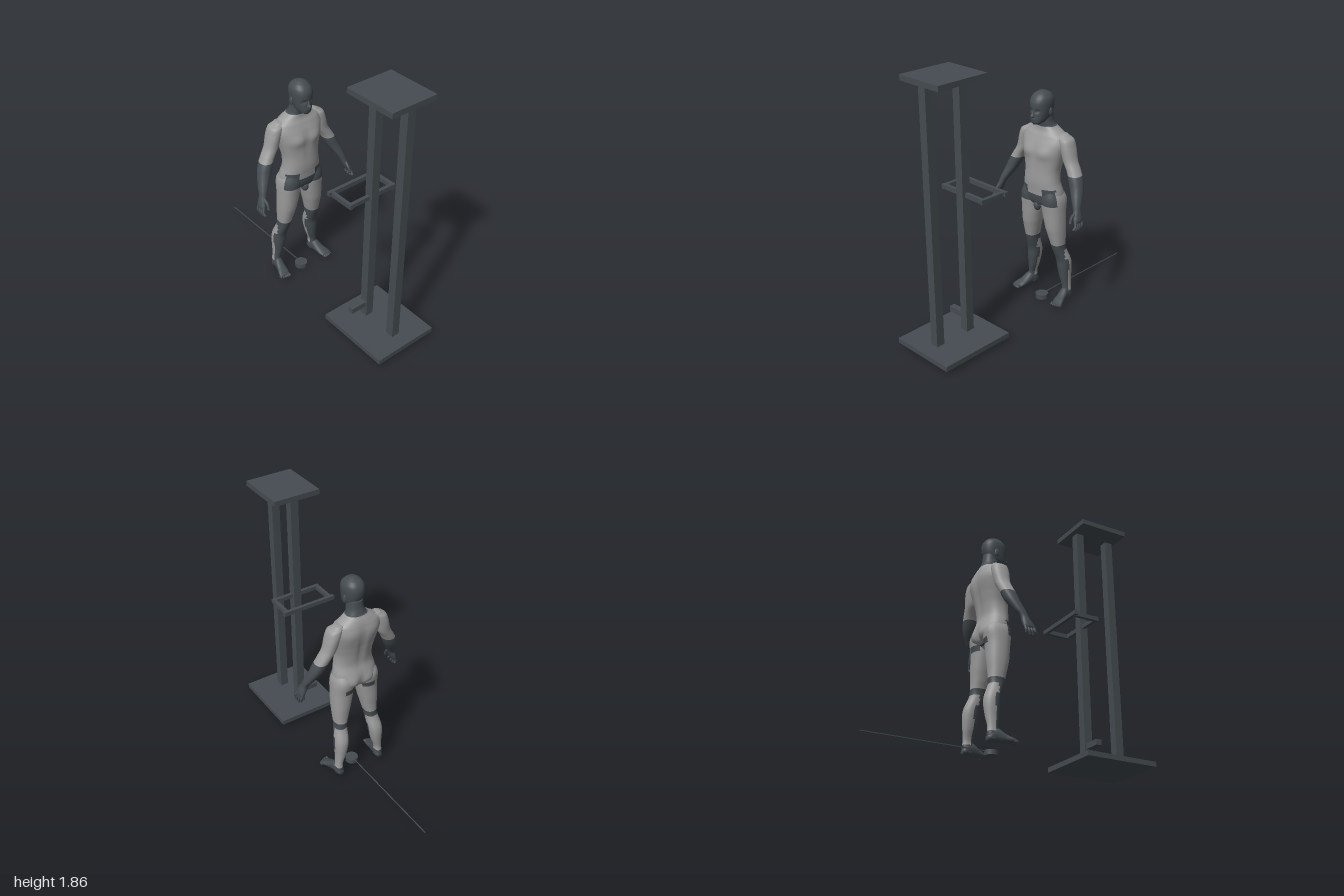
import * as THREE from 'three';

const skin = new THREE.MeshStandardMaterial({ color: 0x9a9a9a });
skin.name = 'light grey';
const dark = new THREE.MeshStandardMaterial({ color: 0x454c51 });
dark.name = 'slate';

// Smooth closed loft. Rings: [y, centreX, halfWidth, zFront, zBack].
// isDark(x, y, z) picks the colour of each quad, bulge(x, y, z) returns a z offset.
function loft(rings, { segs = 32, steps = 5, side = 1, isDark = () => false, bulge = () => 0 } = {}) {
  const r = [...rings].sort((a, b) => a[0] - b[0]);
  const rows = [];
  for (let i = 0; i < r.length - 1; i++) {
    const [p0, p1, p2, p3] = [r[Math.max(i - 1, 0)], r[i], r[i + 1], r[Math.min(i + 2, r.length - 1)]];
    for (let s = 0; s < steps; s++) {
      const t = s / steps;
      rows.push(p1.map((v, k) => k === 0 ? v + (p2[0] - v) * t
        : 0.5 * (2 * v + (p2[k] - p0[k]) * t + (2 * p0[k] - 5 * v + 4 * p2[k] - p3[k]) * t * t
          + (3 * v - p0[k] - 3 * p2[k] + p3[k]) * t * t * t)));
    }
  }
  rows.push(r[r.length - 1]);
  const cap = q => [q[0], q[1], 0, (q[3] + q[4]) / 2, (q[3] + q[4]) / 2];
  rows.unshift(cap(rows[0]));
  rows.push(cap(rows[rows.length - 1]));

  const pos = [];
  for (const [y, cx, w, zf, zb] of rows) {
    for (let j = 0; j < segs; j++) {
      const a = j / segs * Math.PI * 2, c = Math.cos(a), n = Math.sin(a);
      const x = side * cx + w * Math.sign(c) * Math.abs(c) ** 0.88;
      const z = (zf + zb) / 2 + (zf - zb) / 2 * Math.sign(n) * Math.abs(n) ** 0.88;
      pos.push(x, y, z + (w > 0 ? bulge(x, y, z) : 0));
    }
  }
  const faces = [[], []];
  for (let i = 0; i < rows.length - 1; i++) {
    for (let j = 0; j < segs; j++) {
      const k = (j + 1) % segs;
      const a = i * segs + j, b = i * segs + k, c = a + segs, d = b + segs;
      const mid = [0, 1, 2].map(m => (pos[a * 3 + m] + pos[d * 3 + m]) / 2);
      faces[isDark(...mid) ? 1 : 0].push(a, c, b, b, c, d);
    }
  }
  const g = new THREE.BufferGeometry();
  g.setAttribute('position', new THREE.Float32BufferAttribute(pos, 3));
  g.setIndex([...faces[0], ...faces[1]]);
  g.addGroup(0, faces[0].length, 0);
  g.addGroup(faces[0].length, faces[1].length, 1);
  g.computeVertexNormals();
  return g;
}

function add(parent, name, geometry, material, x = 0, y = 0, z = 0) {
  const m = new THREE.Mesh(geometry, material);
  m.name = name;
  m.position.set(x, y, z);
  parent.add(m);
  return m;
}

// Box given by its min and max on each axis
function block(parent, name, x0, x1, y0, y1, z0, z1) {
  return add(parent, name, new THREE.BoxGeometry(x1 - x0, y1 - y0, z1 - z0), dark,
    (x0 + x1) / 2, (y0 + y1) / 2, (z0 + z1) / 2);
}

function ellipsoid(parent, name, x, y, z, rx, ry, rz) {
  return add(parent, name, new THREE.SphereGeometry(1, 16, 12).scale(rx, ry, rz), dark, x, y, z);
}

// Finger through a few points
function finger(parent, name, pts, radius) {
  const v = pts.map(p => new THREE.Vector3(...p));
  add(parent, name, new THREE.TubeGeometry(new THREE.CatmullRomCurve3(v), 8, radius, 8), dark);
  const tip = v[v.length - 1];
  ellipsoid(parent, name + 'Tip', tip.x, tip.y, tip.z, radius, radius, radius);
}

const bump = (x, y, cx, cy, rx, ry) => Math.exp(-(((x - cx) / rx) ** 2) - ((y - cy) / ry) ** 2);

// Dark areas around the hips
const hips = (x, y, z) => {
  const ax = Math.abs(x);
  return (z > -0.1 && y > 0.77 && y < (ax > 0.07 ? 0.9 : 0.85))
    || (z < -0.19 && y > 0.725 && y < 0.755 && ax < 0.12);
};

function buildStand() {
  const stand = new THREE.Group();
  stand.name = 'stand';
  block(stand, 'base', -0.24, 0.24, 0.03, 0.065, 0.45, 1);
  block(stand, 'topPlate', -0.173, 0.173, 1.82, 1.857, 0.535, 0.915);
  for (const z of [0.605, 0.865]) block(stand, 'post', -0.03, 0.03, 0.065, 1.82, z - 0.03, z + 0.03);
  block(stand, 'footPeg', -0.15, -0.03, 0.145, 0.185, 0.585, 0.625);
  block(stand, 'handleBar', -0.205, 0.205, 1.038, 1.068, 0.41, 0.435);
  block(stand, 'rearBar', -0.19, 0.19, 1.038, 1.068, 0.59, 0.615);
  for (const s of [-1, 1]) {
    block(stand, 'handleArm', s * 0.177 - 0.013, s * 0.177 + 0.013, 1.036, 1.066, 0.425, 0.618);
  }
  return stand;
}

function buildHead() {
  const head = new THREE.Group();
  head.name = 'head';
  const opts = { isDark: () => true };
  add(head, 'neck', loft([
    [1.29, 0, 0.1, -0.105, -0.23], [1.33, 0, 0.07, -0.098, -0.218],
    [1.37, 0, 0.056, -0.09, -0.203], [1.43, 0, 0.052, -0.09, -0.195],
  ], { isDark: (x, y) => y > 1.325 }), [skin, dark]);
  // Skull with eye sockets, brow and mouth
  add(head, 'skull', loft([
    [1.352, 0, 0.02, -0.04, -0.09], [1.365, 0, 0.04, -0.03, -0.13], [1.39, 0, 0.054, -0.029, -0.17],
    [1.42, 0, 0.062, -0.03, -0.19], [1.46, 0, 0.068, -0.029, -0.203], [1.5, 0, 0.071, -0.03, -0.206],
    [1.53, 0, 0.066, -0.042, -0.198], [1.555, 0, 0.049, -0.065, -0.178], [1.57, 0, 0.026, -0.092, -0.148],
    [1.576, 0, 0.006, -0.113, -0.125],
  ], {
    ...opts, segs: 40, bulge: (x, y, z) => z < -0.1 ? 0
      : 0.005 * bump(x, y, 0, 1.392, 0.025, 0.012) - 0.012 * bump(Math.abs(x), y, 0.028, 1.447, 0.016, 0.011)
  }), [skin, dark]);
  add(head, 'nose', loft([
    [1.405, 0, 0.012, -0.018, -0.05], [1.413, 0, 0.014, -0.008, -0.05],
    [1.43, 0, 0.009, -0.018, -0.05], [1.455, 0, 0.007, -0.028, -0.05],
  ], { ...opts, segs: 14 }), [skin, dark]);
  for (const s of [-1, 1]) ellipsoid(head, 'ear', s * 0.069, 1.435, -0.13, 0.008, 0.03, 0.017);
  return head;
}

function buildArm(s) {
  const arm = new THREE.Group();
  arm.name = s > 0 ? 'leftArm' : 'rightArm';
  add(arm, 'armAndPalm', loft([
    [1.29, 0.14, 0.03, -0.145, -0.205], [1.26, 0.172, 0.047, -0.115, -0.225], [1.2, 0.193, 0.046, -0.11, -0.23],
    [1.12, 0.214, 0.047, -0.115, -0.22], [1.05, 0.256, 0.045, -0.11, -0.21], [1.0, 0.28, 0.048, -0.1, -0.2],
    [0.95, 0.302, 0.044, -0.09, -0.183], [0.88, 0.333, 0.033, -0.068, -0.145], [0.83, 0.353, 0.024, -0.055, -0.113],
    [0.79, 0.367, 0.022, -0.04, -0.11], [0.76, 0.377, 0.018, -0.03, -0.107], [0.745, 0.38, 0.012, -0.035, -0.1],
  ], { segs: 24, side: s, isDark: (x, y) => y < 1.035 }), [skin, dark]);
  for (let i = 0; i < 4; i++) {
    const z = -0.04 - i * 0.019, out = 0.025 - i * 0.006;
    finger(arm, 'finger', [
      [s * 0.377, 0.765, z], [s * 0.391, 0.728, z + out * 0.5], [s * 0.387, 0.7 + Math.abs(i - 1.5) * 0.008, z + out],
    ], 0.009);
  }
  finger(arm, 'thumb', [[s * 0.36, 0.815, -0.06], [s * 0.357, 0.785, -0.025], [s * 0.36, 0.753, -0.012]], 0.01);
  return arm;
}

function buildLeg(s) {
  const leg = new THREE.Group();
  leg.name = s > 0 ? 'leftLeg' : 'rightLeg';
  // Thigh, knee band and calf with a dark shin
  add(leg, 'legShape', loft([
    [0.9, 0.085, 0.055, -0.065, -0.195], [0.82, 0.092, 0.078, -0.046, -0.235], [0.72, 0.098, 0.077, -0.056, -0.223],
    [0.6, 0.11, 0.066, -0.07, -0.22], [0.52, 0.118, 0.055, -0.09, -0.215], [0.46, 0.124, 0.046, -0.105, -0.215],
    [0.42, 0.129, 0.046, -0.118, -0.22], [0.34, 0.14, 0.05, -0.145, -0.25], [0.28, 0.146, 0.047, -0.15, -0.257],
    [0.2, 0.154, 0.036, -0.16, -0.25], [0.13, 0.166, 0.026, -0.17, -0.242], [0.08, 0.168, 0.029, -0.165, -0.246],
    [0.045, 0.168, 0.028, -0.17, -0.244],
  ], {
    segs: 28, side: s, isDark: (x, y, z) => hips(x, y, z) || y < 0.1
      || (y > 0.425 && y < 0.472) || (y < 0.45 && z > (y > 0.36 ? -0.165 : -0.197))
  }), [skin, dark]);
  // Foot lofted from heel to toe, then laid flat
  add(leg, 'foot', loft([
    [-0.247, 0.166, 0.018, -0.038, -0.07], [-0.225, 0.167, 0.029, -0.033, -0.1], [-0.18, 0.171, 0.031, -0.034, -0.125],
    [-0.13, 0.18, 0.035, -0.035, -0.092], [-0.09, 0.19, 0.041, -0.034, -0.07], [-0.06, 0.197, 0.038, -0.034, -0.055],
  ], { segs: 20, side: s, isDark: () => true }).rotateX(Math.PI / 2), [skin, dark]);
  for (let i = 0; i < 5; i++) {
    const r = 0.012 - i * 0.0013;
    ellipsoid(leg, 'toe', s * (0.168 + i * 0.0155), 0.033 + r, -0.054 - i * i * 0.0012, r * 0.85, r, 0.018);
  }
  return leg;
}

function buildFigure() {
  const figure = new THREE.Group();
  figure.name = 'figure';
  // Torso with chest, spine groove and buttocks
  add(figure, 'torso', loft([
    [0.73, 0, 0.05, -0.095, -0.175], [0.77, 0, 0.135, -0.06, -0.22], [0.81, 0, 0.158, -0.047, -0.235],
    [0.87, 0, 0.156, -0.041, -0.232], [0.94, 0, 0.14, -0.035, -0.215], [1.02, 0, 0.137, -0.038, -0.222],
    [1.1, 0, 0.153, -0.04, -0.238], [1.16, 0, 0.168, -0.043, -0.25], [1.22, 0, 0.18, -0.058, -0.253],
    [1.27, 0, 0.165, -0.08, -0.245], [1.3, 0, 0.12, -0.095, -0.235], [1.335, 0, 0.07, -0.098, -0.218],
  ], {
    segs: 48, isDark: (x, y, z) => hips(x, y, z) || y > 1.325, bulge: (x, y, z) => {
      const ax = Math.abs(x);
      if (z > -0.13) return 0.014 * bump(ax, y, 0.075, 1.155, 0.055, 0.045) - 0.005 * bump(x, y, 0, 1.14, 0.014, 0.12);
      return 0.012 * bump(x, y, 0, 1.1, 0.018, 0.15) + 0.014 * bump(x, y, 0, 0.8, 0.015, 0.05)
        - 0.016 * bump(ax, y, 0.07, 0.81, 0.055, 0.05) - 0.008 * bump(ax, y, 0.09, 1.21, 0.05, 0.06);
    }
  }), [skin, dark]);
  ellipsoid(figure, 'groin', 0, 0.755, -0.075, 0.026, 0.038, 0.028);
  figure.add(buildHead());
  for (const s of [-1, 1]) figure.add(buildArm(s), buildLeg(s));
  return figure;
}

export function createModel() {
  const model = new THREE.Group();
  model.name = 'figureWithStand';
  model.add(buildStand(), buildFigure());
  // Floor puck with its trailing rod
  add(model, 'puck', new THREE.CylinderGeometry(0.046, 0.046, 0.034, 24), dark, 0, 0.017, -0.125);
  block(model, 'rod', -0.003, 0.003, 0.025, 0.031, -1, -0.125);
  return model;
}
